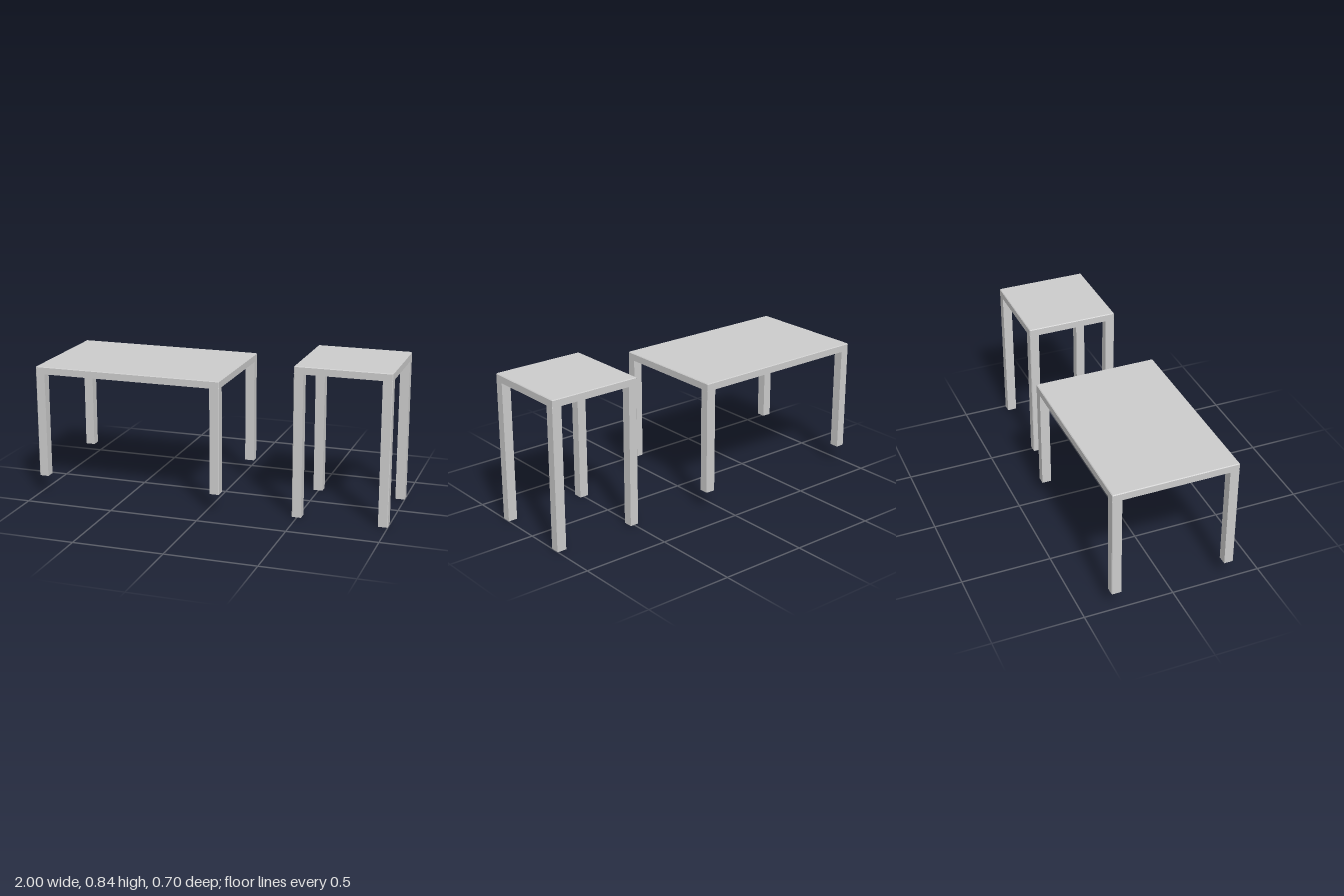
import * as THREE from 'three';

const LEG = 0.053;   // leg thickness
const EDGE = 0.004;  // chamfer on the outer edges
const SLAB = 0.042;  // table top thickness

const material = new THREE.MeshStandardMaterial({ color: 0xcccccc, flatShading: true });

const polygon = (points) => new THREE.Shape(points.map(([x, y]) => new THREE.Vector2(x, y)));

// Solid top with chamfered corners and upper rim, flat and full size underneath
function slabGeometry(w, d) {
  const x = w / 2, y = d / 2, c = EDGE;
  const shape = polygon([
    [x - c, -y], [x, -y + c], [x, y - c], [x - c, y],
    [-x + c, y], [-x, y - c], [-x, -y + c], [-x + c, -y],
  ]);
  const geometry = new THREE.ExtrudeGeometry(shape, {
    depth: SLAB - 2 * c, bevelEnabled: true, bevelSegments: 1,
    bevelThickness: c, bevelSize: c, bevelOffset: -c,
  });
  const p = geometry.attributes.position;
  for (let i = 0; i < p.count; i++) {
    if (p.getZ(i) < -c / 2) {
      p.setX(i, p.getX(i) * w / (w - 2 * c));
      p.setY(i, p.getY(i) * d / (d - 2 * c));
    }
  }
  geometry.translate(0, 0, c);
  geometry.rotateX(-Math.PI / 2);
  geometry.computeVertexNormals();
  return geometry;
}

// Square leg whose outer corner (toward sx, sz) is chamfered; origin at that corner
function legGeometry(height, sx, sz) {
  const outline = [
    [-LEG, -LEG], [0, -LEG], [0, -EDGE], [-EDGE, 0], [-LEG, 0],
  ].map(([x, z]) => [x * sx, -z * sz]);
  const geometry = new THREE.ExtrudeGeometry(polygon(outline), { depth: height, bevelEnabled: false });
  geometry.rotateX(-Math.PI / 2);
  return geometry;
}

function createTable(name, { x0, x1, z0, z1, y0, y1 }) {
  const table = new THREE.Group();
  table.name = name;
  table.position.set((x0 + x1) / 2, y0, (z0 + z1) / 2);
  const w = x1 - x0, d = z1 - z0, legHeight = y1 - y0 - SLAB;

  const top = new THREE.Mesh(slabGeometry(w, d), material);
  top.name = 'tableTop';
  top.position.y = legHeight;
  table.add(top);

  for (const sx of [-1, 1]) {
    for (const sz of [-1, 1]) {
      const leg = new THREE.Mesh(legGeometry(legHeight, sx, sz), material);
      leg.name = (sz > 0 ? 'front' : 'back') + (sx > 0 ? 'Left' : 'Right') + 'Leg';
      leg.position.set(sx * w / 2, 0, sz * d / 2);
      table.add(leg);
    }
  }
  return table;
}

export function createModel() {
  const model = new THREE.Group();
  model.name = 'sideTables';
  model.add(
    createTable('wideTable', { x0: -1, x1: 0.076, z0: -0.348, z1: 0.348, y0: 0.104, y1: 0.742 }),
    createTable('tallTable', { x0: 0.47, x1: 1, z0: -0.24, z1: 0.28, y0: 0, y1: 0.843 }),
  );
  return model;
}
